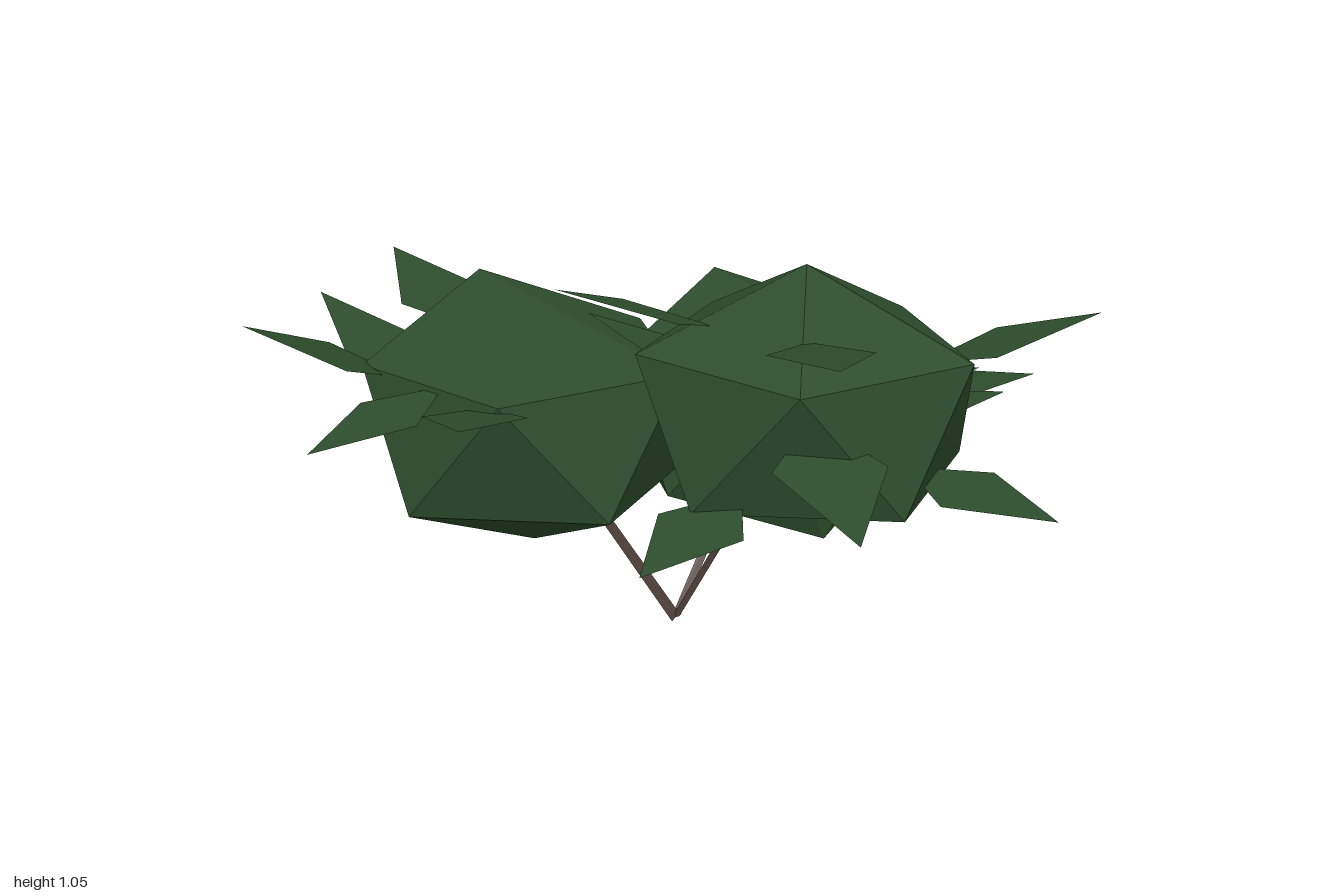
import * as THREE from 'three';

const foliage = new THREE.MeshStandardMaterial({ color: 0x2d4d2d, flatShading: true, side: THREE.DoubleSide });
foliage.name = 'dark green foliage';
const bark = new THREE.MeshStandardMaterial({ color: 0x4f4039, flatShading: true, side: THREE.DoubleSide });
bark.name = 'brown bark';

// Non-indexed mesh from a list of triangles, each of three Vector3
function facetMesh(name, tris, material) {
  const geo = new THREE.BufferGeometry().setFromPoints(tris.flat());
  geo.computeVertexNormals();
  const mesh = new THREE.Mesh(geo, material);
  mesh.name = name;
  return mesh;
}

// Flattened twenty-sided clump; a pole can be fused with one vertex of its ring
function clump(name, center, topFuse = null, bottomFuse = null) {
  const at = (deg, r, y) => {
    const a = THREE.MathUtils.degToRad(deg);
    return new THREE.Vector3(r * Math.cos(a), y, r * Math.sin(a));
  };
  const top = at(0, 0, 0.347), bottom = at(0, 0, -0.347);
  const up = [], lo = [];
  for (let k = 0; k < 5; k++) {
    up.push(at(72 * k, 0.41, 0.155));
    lo.push(at(72 * k + 36, 0.41, -0.155));
  }
  if (topFuse !== null) {
    top.copy(at(72 * topFuse, 0.28, 0.308));
    up[topFuse].copy(top);
  }
  if (bottomFuse !== null) {
    bottom.copy(at(72 * bottomFuse + 36, 0.28, -0.304));
    lo[bottomFuse].copy(bottom);
  }
  const tris = [];
  for (let k = 0; k < 5; k++) {
    const n = (k + 1) % 5;
    tris.push([top, up[n], up[k]], [up[k], up[n], lo[k]], [lo[k], up[n], lo[n]], [bottom, lo[k], lo[n]]);
  }
  const solid = tris.filter(([a, b, c]) => !a.equals(b) && !b.equals(c) && !a.equals(c));
  const mesh = facetMesh(name, solid, foliage);
  mesh.position.set(...center);
  return mesh;
}

// Flat kite-shaped leaf from base to tip; roll lifts one side
function leaf(tip, base, halfWidth = 0.13, roll = 0) {
  const t = new THREE.Vector3(...tip), b = new THREE.Vector3(...base);
  const dir = t.clone().sub(b).normalize();
  const side = new THREE.Vector3(-dir.z, 0, dir.x).normalize()
    .applyAxisAngle(dir, roll).multiplyScalar(halfWidth);
  const mid = b.clone().lerp(t, 0.42);
  const l = mid.clone().add(side), r = mid.clone().sub(side);
  return facetMesh('leaf', [[b, l, t], [b, t, r]], foliage);
}

// Thin ribbon stem from the ground point to a clump
function stem(name, end, across) {
  const a = new THREE.Vector3(0.07, 0.015, -0.04), b = new THREE.Vector3(...end);
  const w = new THREE.Vector3(...across).normalize().multiplyScalar(0.014);
  const p = [a.clone().sub(w), a.clone().add(w), b.clone().add(w), b.clone().sub(w)];
  p[0].y = 0;
  return facetMesh(name, [[p[0], p[1], p[2]], [p[0], p[2], p[3]]], bark);
}

export function createModel() {
  const group = new THREE.Group();
  group.name = 'shrub';

  // Leaf clumps
  const front = [0.11, 0.685, 0.33], back = [-0.2, 0.6, -0.29], side = [0.46, 0.515, -0.05];
  group.add(
    clump('frontClump', front, null, 3),
    clump('backClump', back, 4, null),
    clump('sideClump', side, 4, 1),
  );

  // Stems
  group.add(
    stem('frontStem', front, [0, 0, 1]),
    stem('backStem', back, [1, 0, 0]),
    stem('sideStem', side, [0.7, 0, 0.7]),
  );

  // Leaves: tip, base, half width, roll
  const leaves = [
    // around the back clump
    [[-0.29, 0.8, -1.0], [-0.27, 0.62, -0.6], 0.12],
    [[-0.08, 0.895, -0.94], [-0.12, 0.74, -0.56], 0.13],
    [[-0.79, 0.89, -0.64], [-0.46, 0.72, -0.46], 0.12],
    [[-0.88, 0.68, -0.3], [-0.5, 0.75, -0.27], 0.11],
    [[-0.77, 0.8, 0.09], [-0.48, 0.72, -0.15], 0.12],
    [[-0.1, 0.86, -0.18], [0.08, 0.72, 0.08], 0.1],
    // around the front clump
    [[-0.48, 1.05, 0.09], [-0.08, 0.9, 0.21], 0.12],
    [[-0.55, 0.48, 0.4], [-0.18, 0.56, 0.38], 0.12],
    [[-0.36, 0.62, 0.84], [-0.06, 0.73, 0.48], 0.13],
    [[-0.33, 0.97, 0.75], [-0.06, 0.91, 0.47], 0.12],
    [[0.19, 0.54, 0.99], [0.16, 0.58, 0.6], 0.13],
    [[0.48, 0.945, 0.9], [0.27, 0.8, 0.56], 0.12],
    [[0.78, 0.63, 0.41], [0.45, 0.66, 0.3], 0.1],
    [[0.78, 0.58, 0.49], [0.42, 0.62, 0.38], 0.1],
    [[0.75, 0.66, 0.59], [0.4, 0.68, 0.42], 0.1],
    // on the side clump
    [[0.66, 0.78, -0.08], [0.38, 0.72, 0.14], 0.12],
  ];
  for (const args of leaves) group.add(leaf(...args));

  return group;
}
